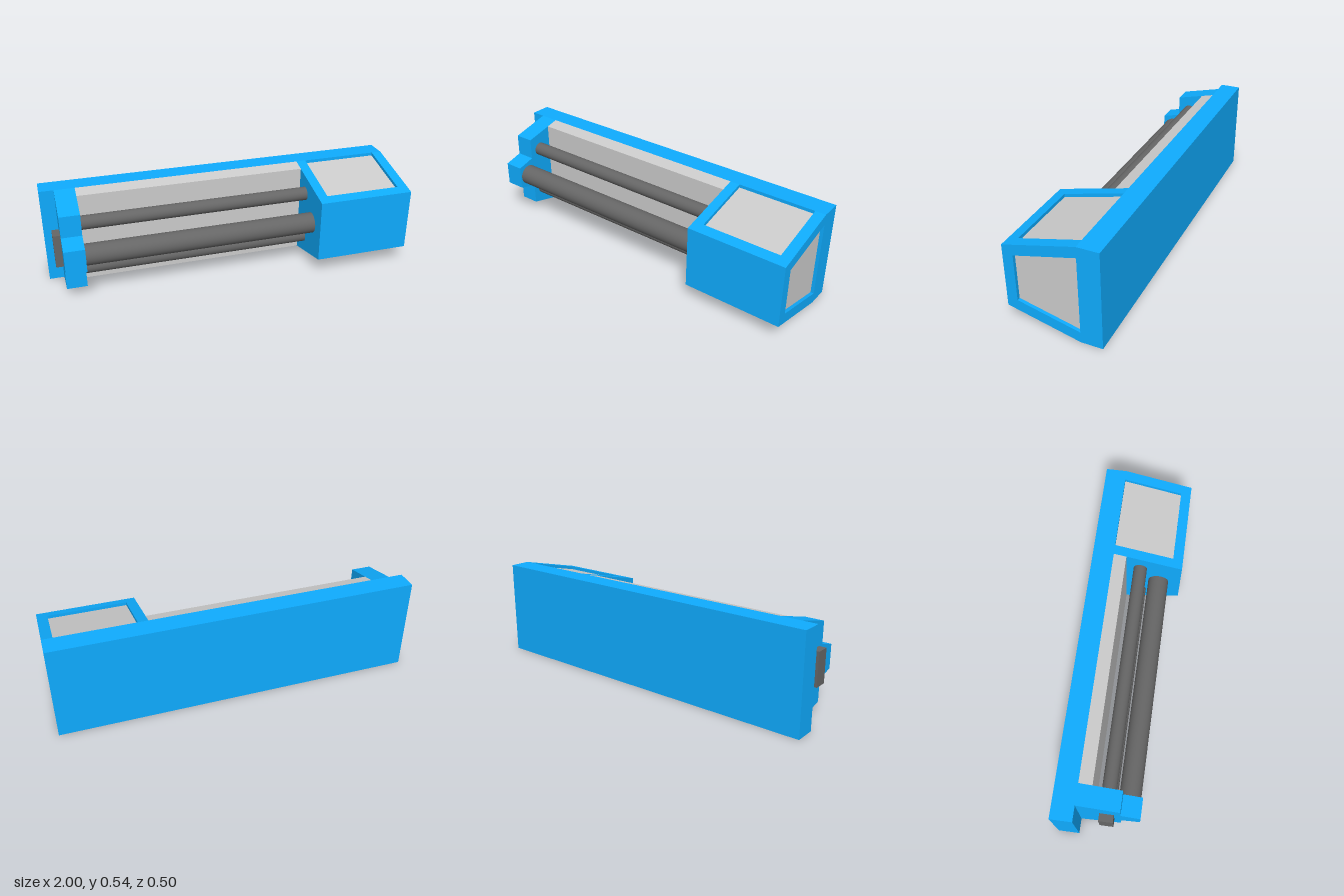
import * as THREE from 'three';

const BLUE = new THREE.MeshStandardMaterial({ color: 0x0facff });
const GREY = new THREE.MeshStandardMaterial({ color: 0xcccccc });
const DARK = new THREE.MeshStandardMaterial({ color: 0x666666 });

const H = 0.538, MID = H / 2;        // total height and mid height
const ZB = -0.135, ZF = 0.25;        // front of back plate, front of housing
const SLOPE = 0.247;                 // taper of top and bottom towards the front
const RECESS = 0.02;
const halfAt = (z, inset = 0) => MID - inset - SLOPE * (z - ZB);

export function createModel() {
  const model = new THREE.Group();

  const add = (name, geometry, material, x = 0, y = 0, z = 0) => {
    const mesh = new THREE.Mesh(geometry, material);
    mesh.name = name;
    mesh.position.set(x, y, z);
    model.add(mesh);
    return mesh;
  };
  const box = (name, material, x0, x1, y0, y1, z0, z1) =>
    add(name, new THREE.BoxGeometry(x1 - x0, y1 - y0, z1 - z0), material,
      (x0 + x1) / 2, (y0 + y1) / 2, (z0 + z1) / 2);

  // Side profile of [z, y] points, extruded along x
  const prism = (name, material, points, x0, x1) => {
    const shape = new THREE.Shape(points.map(([z, y]) => new THREE.Vector2(-z, y)));
    const g = new THREE.ExtrudeGeometry(shape, { depth: x1 - x0, bevelEnabled: false });
    add(name, g.rotateY(Math.PI / 2), material, x0);
  };
  // Upper half of a profile, mirrored about mid height: [z, halfHeight]
  const mirrored = (half) => [
    ...half.map(([z, h]) => [z, MID + h]),
    ...half.slice().reverse().map(([z, h]) => [z, MID - h]),
  ];
  const taper = (z0, z1, inset = 0) => mirrored([[z0, halfAt(z0, inset)], [z1, halfAt(z1, inset)]]);

  // Plan outline of [x, z] points, extruded upwards and sheared to the taper
  const slopedSlab = (name, material, points, y, thickness, dir) => {
    const shape = new THREE.Shape(points.map(([x, z]) => new THREE.Vector2(x, -z)));
    const g = new THREE.ExtrudeGeometry(shape, { depth: thickness, bevelEnabled: false });
    g.rotateX(-Math.PI / 2);
    const p = g.attributes.position;
    for (let i = 0; i < p.count; i++) p.setY(i, p.getY(i) - dir * SLOPE * (p.getZ(i) - ZB));
    g.computeVertexNormals();
    add(name, g, material, 0, y, 0);
  };

  // Back plate and the tapered grey backing behind the rollers
  box('backPlate', BLUE, -1, 1, 0, H, -0.25, ZB);
  prism('rollerBacking', GREY, taper(ZB, -0.065), -0.81, 0.46);

  // Housing: inner body, then raised frames around the recessed panels
  const X0 = 0.46, X1 = 1 - RECESS, PZ = 0.194, PX0 = 0.515, PX1 = 0.943;
  prism('housingBody', BLUE, taper(ZB, ZF, RECESS), X0, X1);

  const [fb, fc, pb, pc] = [halfAt(ZB), halfAt(ZF), halfAt(ZB, 0.059), halfAt(PZ, 0.059)];
  prism('housingSideFrame', BLUE, [
    [ZB, MID + fb], [ZF, MID + fc], [ZF, MID - fc], [ZB, MID - fb],
    [ZB, MID - pb], [PZ, MID - pc], [PZ, MID + pc], [ZB, MID + pb],
  ], X1, 1);
  prism('sidePanel', GREY, taper(ZB, PZ, 0.059), X1 - 0.01, X1 + 0.002);

  const frame = [[X0, ZB], [X0, ZF], [X1, ZF], [X1, ZB], [PX1, ZB], [PX1, PZ], [PX0, PZ], [PX0, ZB]];
  const panel = [[PX0, ZB], [PX0, PZ], [PX1, PZ], [PX1, ZB]];
  slopedSlab('housingTopFrame', BLUE, frame, H - RECESS, RECESS, 1);
  slopedSlab('housingBottomFrame', BLUE, frame, 0, RECESS, -1);
  slopedSlab('topPanel', GREY, panel, H - RECESS - 0.008, 0.01, 1);
  slopedSlab('bottomPanel', GREY, panel, RECESS - 0.002, 0.01, -1);

  // Stepped end bracket holding the rollers
  prism('endBracket', BLUE, mirrored([
    [ZB, MID], [0.087, halfAt(0.087)], [0.087, 0.094], [0.19, 0.066],
  ]), -0.92, -0.81);
  box('endBlock', DARK, -0.96, -0.92, 0.176, 0.362, -0.022, 0.053);

  // Rollers: [name, y, z, radius]
  const rollers = [
    ['upperRoller', MID + 0.133, 0.015, 0.038],
    ['middleRoller', MID, 0.123, 0.058],
    ['lowerRoller', MID - 0.133, 0.015, 0.038],
  ];
  for (const [name, y, z, r] of rollers) {
    const g = new THREE.CylinderGeometry(r, r, 1.27, 40).rotateZ(Math.PI / 2);
    add(name, g, DARK, -0.175, y, z);
  }

  return model;
}
